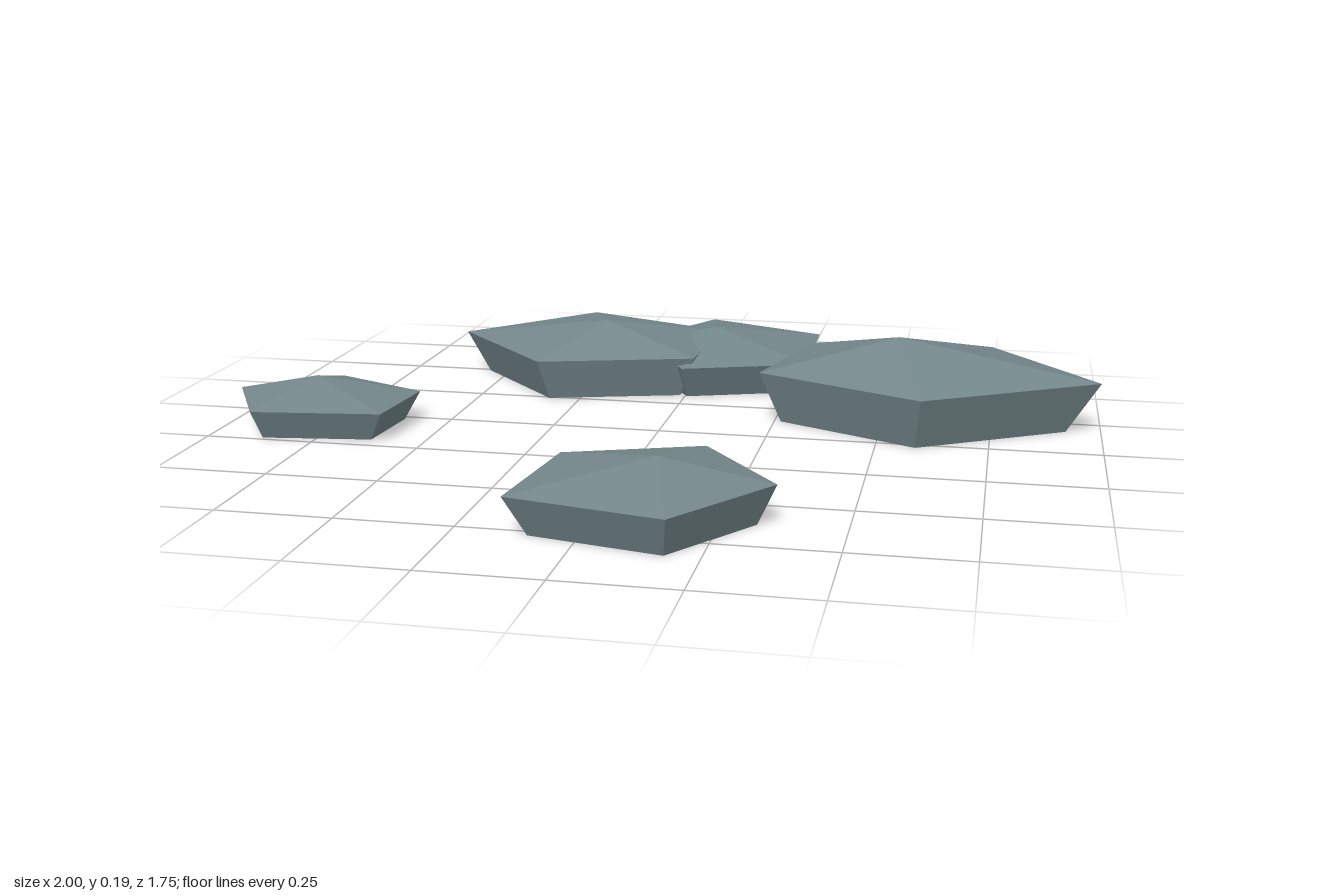
import * as THREE from 'three';

const BASE_SCALE = 0.84; // the foot of each stone is narrower than its rim

// peak: [x, y, z]; rimY: height of the rim; rim: [x, z] corners
const stones = [
  { name: 'largeStone', peak: [0.53, 0.195, -0.23], rimY: 0.12,
    rim: [[0.30, -0.455], [0.745, -0.50], [0.995, -0.17], [0.60, 0.072], [0.215, -0.12]] },
  { name: 'backLeftStone', peak: [-0.22, 0.16, -0.44], rimY: 0.10,
    rim: [[-0.34, -0.81], [0.03, -0.65], [0.025, -0.313], [-0.345, -0.203], [-0.615, -0.50]] },
  { name: 'backMiddleStone', peak: [0.04, 0.13, -0.555], rimY: 0.08,
    rim: [[-0.02, -0.875], [0.287, -0.74], [0.297, -0.39], [0.0, -0.283], [-0.19, -0.56]] },
  { name: 'smallStone', peak: [-0.805, 0.108, 0.065], rimY: 0.068,
    rim: [[-0.80, -0.097], [-0.572, 0.01], [-0.59, 0.23], [-0.885, 0.27], [-1.0, 0.06]] },
  { name: 'frontStone', peak: [0.125, 0.13, 0.63], rimY: 0.083,
    rim: [[0.18, 0.383], [0.36, 0.62], [0.19, 0.872], [-0.14, 0.80], [-0.105, 0.49]] },
];

// Faceted stone: low pointed top, flared sides, flat underside
function stoneGeometry({ peak, rimY, rim }) {
  const [px, , pz] = peak;
  const top = rim.map(([x, z]) => [x, rimY, z]);
  const foot = rim.map(([x, z]) => [px + (x - px) * BASE_SCALE, 0, pz + (z - pz) * BASE_SCALE]);
  const corners = [];
  for (let i = 0; i < rim.length; i++) {
    const j = (i + 1) % rim.length;
    corners.push(peak, top[j], top[i]);
    corners.push(foot[i], top[i], top[j], foot[i], top[j], foot[j]);
    corners.push([px, 0, pz], foot[i], foot[j]);
  }
  const geometry = new THREE.BufferGeometry();
  geometry.setAttribute('position', new THREE.Float32BufferAttribute(corners.flat(), 3));
  geometry.computeVertexNormals(); // unshared corners keep every facet flat
  return geometry;
}

export function createModel() {
  const group = new THREE.Group();
  group.name = 'steppingStones';
  const slate = new THREE.MeshStandardMaterial({ color: 0x74878b });
  slate.name = 'slate grey';
  for (const stone of stones) {
    const mesh = new THREE.Mesh(stoneGeometry(stone), slate);
    mesh.name = stone.name;
    group.add(mesh);
  }
  return group;
}
